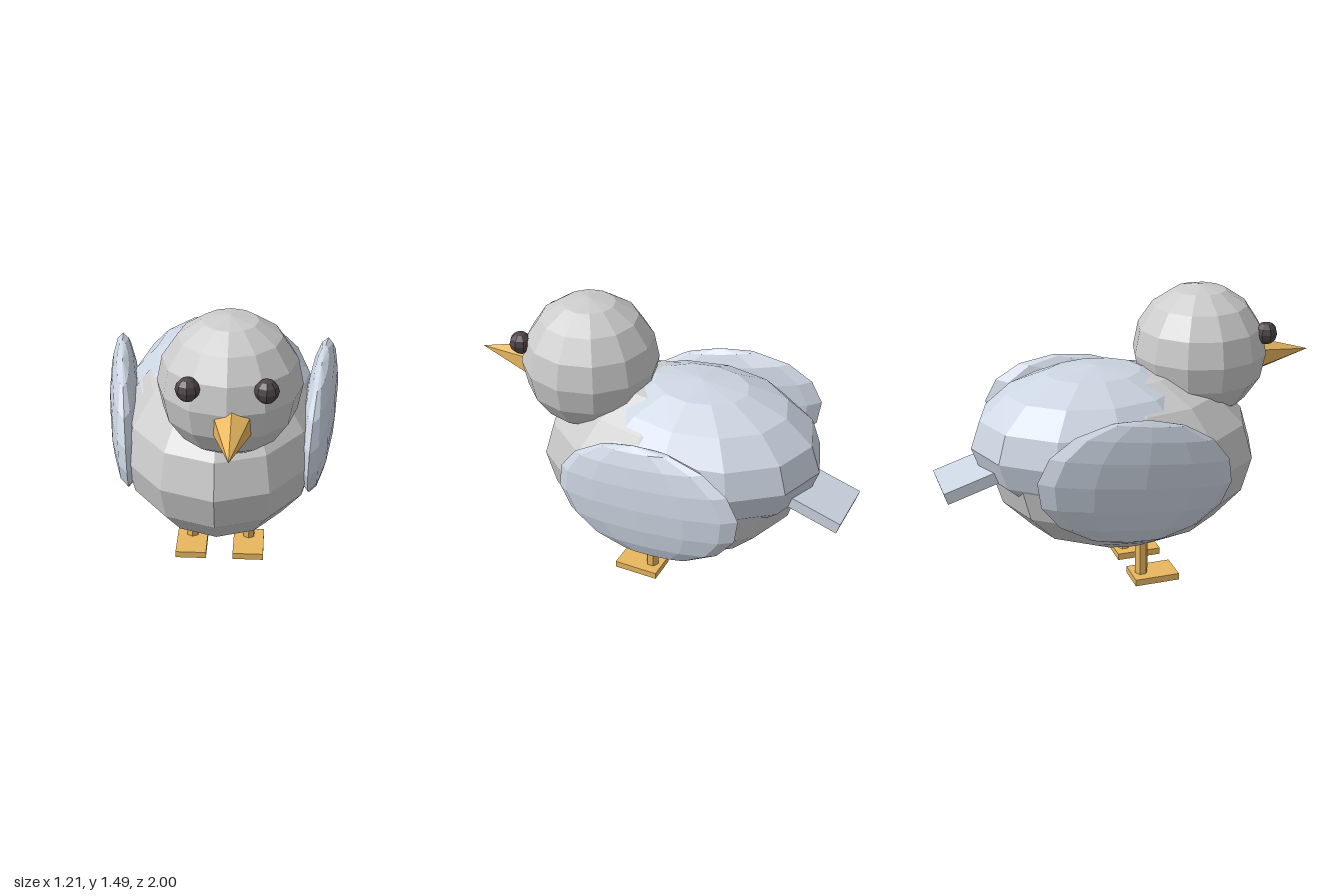
import * as THREE from 'three';

const paint = (color) => new THREE.MeshStandardMaterial({ color, flatShading: true });

export function createModel() {
  const bird = new THREE.Group();
  bird.name = 'bird';
  const grey = paint(0xcccccc);
  const blueGrey = paint(0xccd5e2);
  const yellow = paint(0xe8b75e);
  const dark = paint(0x4c4346);

  const add = (name, geometry, material, position, rotation = [0, 0, 0]) => {
    const mesh = new THREE.Mesh(geometry, material);
    mesh.name = name;
    mesh.position.set(...position);
    mesh.rotation.set(...rotation);
    bird.add(mesh);
    return mesh;
  };
  // Low-poly ellipsoid with the given radii
  const ellipsoid = (rx, ry, rz, sides = 12, rings = 8) =>
    new THREE.SphereGeometry(1, sides, rings).scale(rx, ry, rz);

  // Body, plumage on the back, head turned slightly off centre
  add('body', ellipsoid(0.52, 0.47, 0.69), grey, [0, 0.65, -0.045]);
  add('back', ellipsoid(0.485, 0.365, 0.63), blueGrey, [0, 0.78, -0.2]);
  add('head', ellipsoid(0.343, 0.343, 0.343), grey, [0.063, 1.148, 0.378]);

  // Six-sided beak, its base sunk into the head
  const beak = new THREE.ConeGeometry(0.12, 0.4, 6).rotateX(Math.PI / 2);
  add('beak', beak, yellow, [0.085, 1.08, 0.8]);

  // Flat tail sloping down to the rear
  add('tail', new THREE.BoxGeometry(0.3, 0.06, 0.4), blueGrey, [0, 0.654, -0.8], [-0.3, 0, 0]);

  // Paired parts
  for (const [side, s] of [['left', 1], ['right', -1]]) {
    add(side + 'Eye', ellipsoid(0.057, 0.057, 0.057, 8, 6), dark, [0.063 + s * 0.176, 1.257, 0.67]);
    add(side + 'Wing', ellipsoid(0.082, 0.316, 0.515), blueGrey,
      [s * 0.503, 0.716, -0.135], [0.18, -s * 0.12, 0]);
    add(side + 'Leg', new THREE.CylinderGeometry(0.033, 0.033, 0.27, 6), yellow, [s * 0.15, 0.155, 0]);
    add(side + 'Foot', new THREE.BoxGeometry(0.16, 0.035, 0.235), yellow, [s * 0.15, 0.0175, 0.062]);
  }
  return bird;
}
